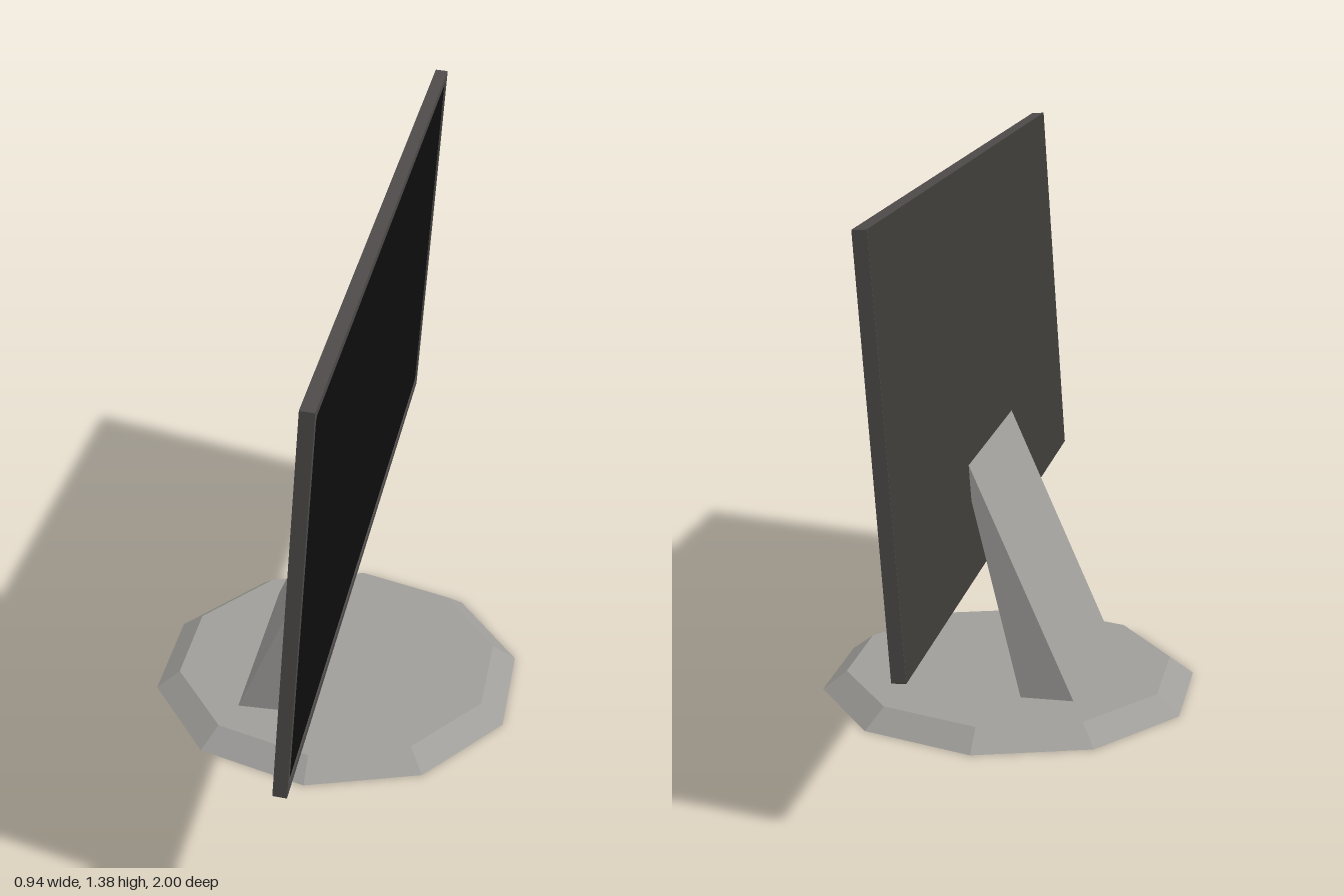
import * as THREE from 'three';

const flat = (name, color) => {
  const m = new THREE.MeshStandardMaterial({ color });
  m.name = name;
  return m;
};

const part = (name, geometry, material) => {
  const mesh = new THREE.Mesh(geometry, material);
  mesh.name = name;
  return mesh;
};

// Rectangle with small cut corners, centred on the origin
const cutRect = (w, h, c, Type = THREE.Shape) => {
  const x = w / 2, y = h / 2;
  return new Type([
    [-x + c, -y], [x - c, -y], [x, -y + c], [x, y - c],
    [x - c, y], [-x + c, y], [-x, y - c], [-x, -y + c],
  ].map(([a, b]) => new THREE.Vector2(a, b)));
};

export function createModel() {
  const standGrey = flat('stand grey', 0xa09e9b);
  const frameGrey = flat('frame dark grey', 0x4e4a4a);
  const backGrey = flat('back charcoal', 0x3f3d39);
  const screenBlack = flat('screen black', 0x0d0d0d);
  const model = new THREE.Group();
  model.name = 'monitor';

  // Ten-sided tapered foot
  const foot = new THREE.CylinderGeometry(0.43, 0.493, 0.048, 10).toNonIndexed();
  foot.computeVertexNormals();
  const base = part('base', foot, standGrey);
  base.position.set(0, 0.024, -0.008);
  model.add(base);

  // Leaning wedge, extruded along z
  const profile = new THREE.Shape([
    [-0.215, 0.065], [-0.08, 0.065], [0.044, 0.575], [0.051, 0.667],
  ].map(([x, y]) => new THREE.Vector2(x, y)));
  const wedge = new THREE.ExtrudeGeometry(profile, { depth: 0.54, bevelEnabled: false });
  wedge.translate(0, 0, -0.27);
  model.add(part('stand', wedge, standGrey));

  // Tilted display, screen facing +x
  const W = 2, H = 0.998, T = 0.034, skin = 0.0005;
  const display = new THREE.Group();
  display.name = 'display';
  display.position.set(0.0825, 0.878, 0);
  display.rotation.z = -0.07;
  model.add(display);

  const outline = cutRect(W, H, 0.001);
  outline.holes.push(cutRect(1.96, 0.955, 0.01, THREE.Path));
  const frame = new THREE.ExtrudeGeometry(outline, { depth: T - skin, bevelEnabled: false });
  frame.translate(0, 0, -T / 2 + skin).rotateY(Math.PI / 2);
  display.add(part('frame', frame, frameGrey));

  // Rear cover
  const cover = new THREE.PlaneGeometry(W, H).rotateY(-Math.PI / 2).translate(-T / 2, 0, 0);
  display.add(part('backCover', cover, backGrey));

  // Slightly recessed screen
  const glass = new THREE.PlaneGeometry(1.97, 0.965).rotateY(Math.PI / 2).translate(T / 2 - 0.004, 0, 0);
  display.add(part('screen', glass, screenBlack));

  return model;
}
